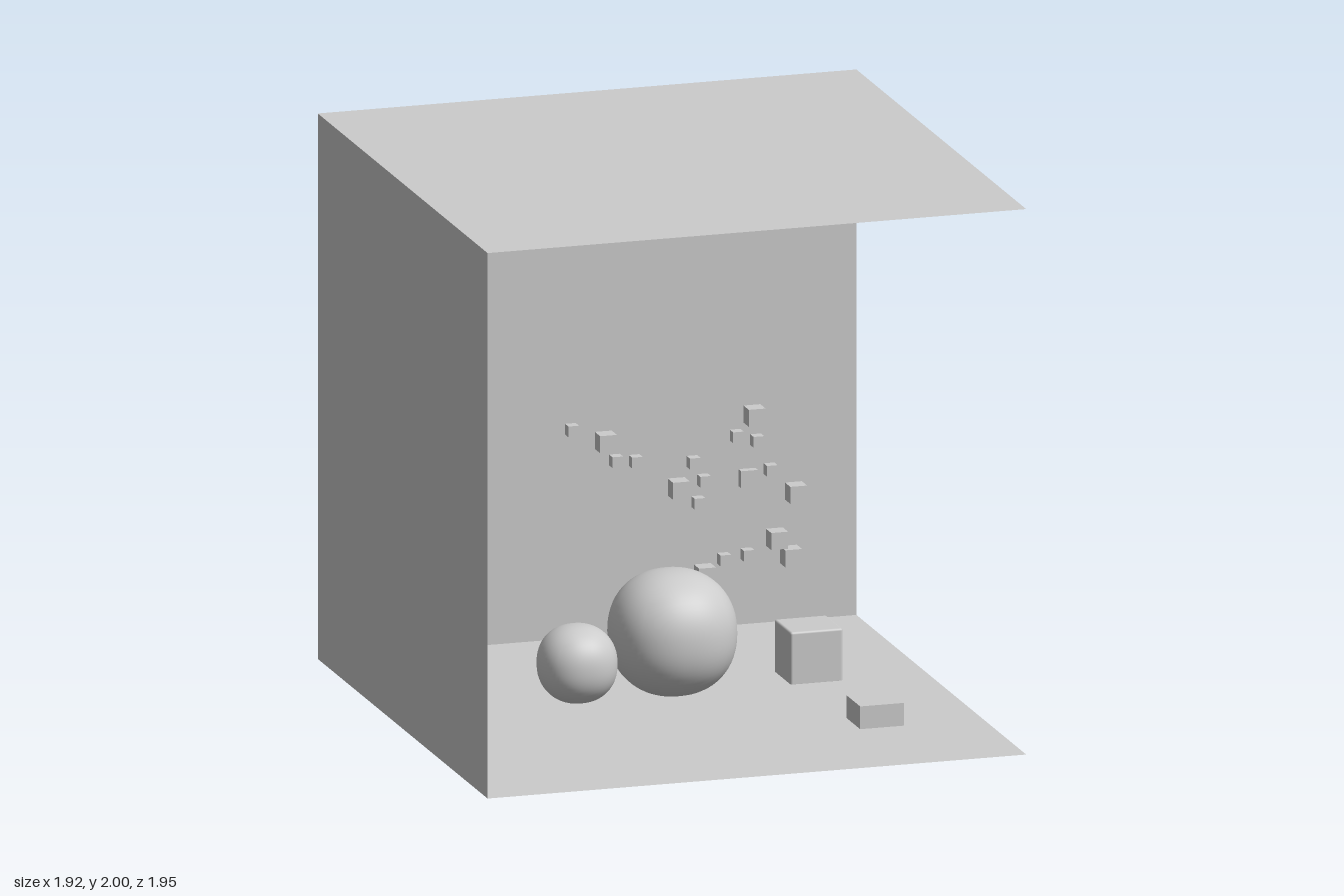
import * as THREE from 'three';
import { mergeVertices } from 'three/addons/utils/BufferGeometryUtils.js';
import { RoundedBoxGeometry } from 'three/addons/geometries/RoundedBoxGeometry.js';

const SIZE = 1.92, FLOOR = 0.08, BACK = -0.945;

const grey = new THREE.MeshStandardMaterial({ color: 0xcccccc });
const thin = new THREE.MeshStandardMaterial({ color: 0xcccccc, side: THREE.DoubleSide });

function add(parent, name, geometry, material, x, y, z) {
  const mesh = new THREE.Mesh(geometry, material);
  mesh.name = name;
  mesh.position.set(x, y, z);
  parent.add(mesh);
  return mesh;
}

// Slightly squarish ball: a subdivided cube inflated to a superellipsoid
function ballGeometry(radius) {
  const power = 2.2;
  let g = new THREE.BoxGeometry(2, 2, 2, 16, 16, 16);
  g.deleteAttribute('uv');
  g.deleteAttribute('normal');
  g = mergeVertices(g);
  const pos = g.attributes.position;
  const v = new THREE.Vector3();
  for (let i = 0; i < pos.count; i++) {
    v.fromBufferAttribute(pos, i);
    v.set(Math.tan(v.x * Math.PI / 4), Math.tan(v.y * Math.PI / 4), Math.tan(v.z * Math.PI / 4));
    const norm = [v.x, v.y, v.z].reduce((s, c) => s + Math.abs(c) ** power, 0) ** (1 / power);
    v.multiplyScalar(radius / norm);
    pos.setXYZ(i, v.x, v.y, v.z);
  }
  g.computeVertexNormals();
  return g;
}

export function createModel() {
  const model = new THREE.Group();
  model.name = 'openRoom';

  // Room shell: open at the front and on the +x side
  const room = new THREE.Group();
  room.name = 'room';
  model.add(room);
  const sheet = new THREE.PlaneGeometry(SIZE, SIZE);
  const midY = FLOOR + SIZE / 2, midZ = BACK + SIZE / 2;
  add(room, 'floor', sheet, thin, 0, FLOOR, midZ).rotation.x = -Math.PI / 2;
  add(room, 'ceiling', sheet, thin, 0, FLOOR + SIZE, midZ).rotation.x = Math.PI / 2;
  add(room, 'backWall', sheet, thin, 0, midY, BACK);
  add(room, 'sideWall', sheet, thin, -SIZE / 2, midY, midZ).rotation.y = Math.PI / 2;

  // Floating balls
  add(model, 'largeBall', ballGeometry(0.218), grey, 0, 0.345, 0.018);
  add(model, 'smallBall', ballGeometry(0.136), grey, -0.433, 0.345, 0.315);

  // Cubes on the floor: one softened, one sunk through it
  add(model, 'softCube', new RoundedBoxGeometry(0.186, 0.19, 0.186, 3, 0.008), grey, 0.565, 0.168, -0.232);
  add(model, 'sunkenCube', new THREE.BoxGeometry(0.157, 0.16, 0.157), grey, 0.6, 0.08, 0.41);

  // Little cubes scattered over the back wall, as [x, y]
  const studs = new THREE.Group();
  studs.name = 'wallCubes';
  model.add(studs);
  const large = [
    [-0.525, 0.77], [-0.57, 0.43], [0.057, 0.77], [0.317, 0.585], [0.587, 0.82],
    [0.735, 0.537], [0.667, 0.38], [0.717, 0.315], [0.41, 0.275],
  ];
  const small = [
    [-0.06, 0.818], [0.097, 0.697], [0.167, 0.69], [0.373, 0.67], [0.41, 0.603], [0.39, 0.527],
    [0.527, 0.75], [0.6, 0.728], [0.648, 0.622], [0.482, 0.32], [0.565, 0.33],
  ];
  const largeBox = new THREE.BoxGeometry(0.06, 0.06, 0.06);
  const smallBox = new THREE.BoxGeometry(0.038, 0.038, 0.038);
  for (const [x, y] of large) add(studs, 'largeWallCube', largeBox, grey, x, y, BACK + 0.032);
  for (const [x, y] of small) add(studs, 'smallWallCube', smallBox, grey, x, y, BACK + 0.021);
  // This one pokes out through the wall
  add(studs, 'piercingWallCube', largeBox, grey, 0.57, 0.597, BACK);

  return model;
}
